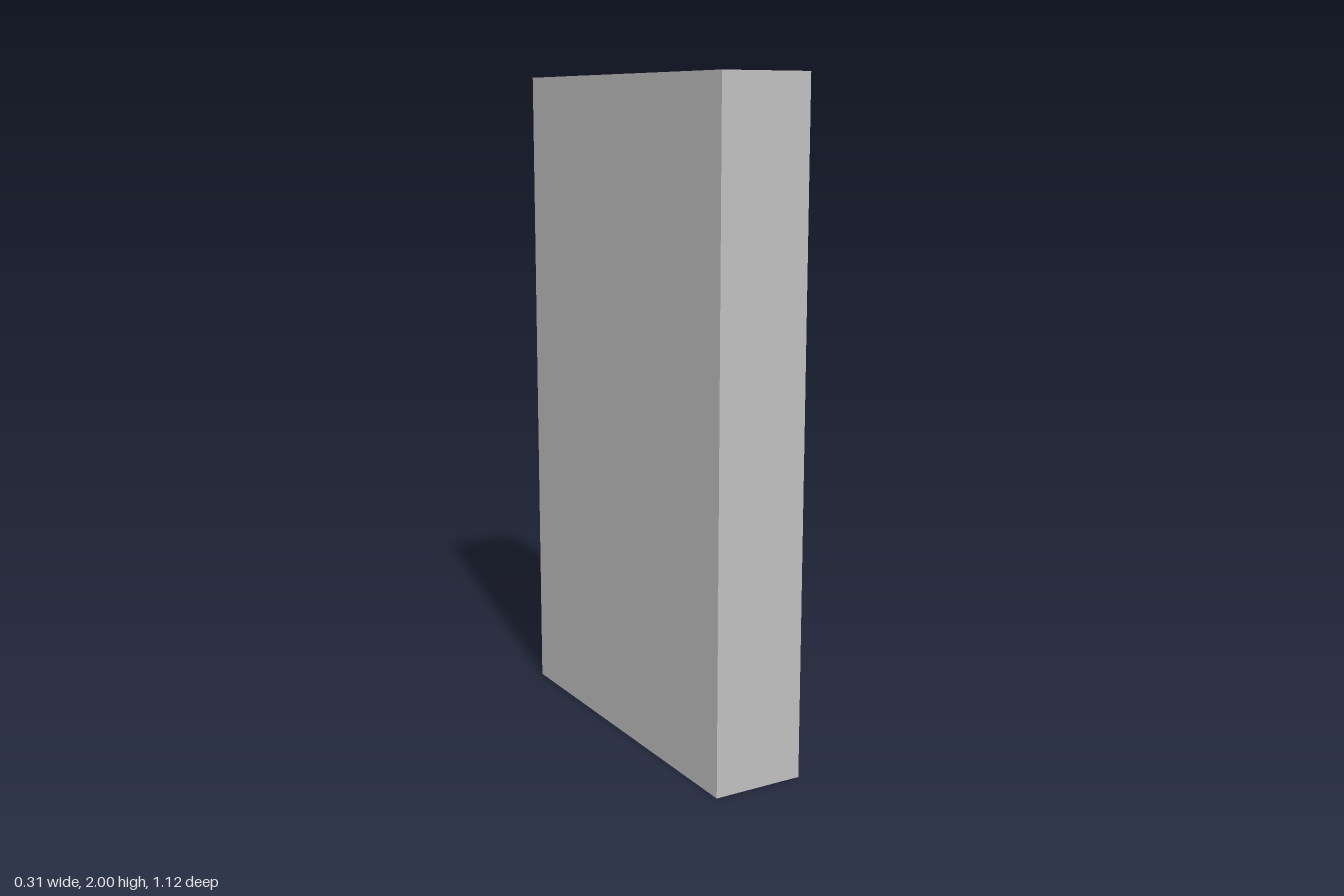
import * as THREE from 'three';

export function createModel() {
  const model = new THREE.Group();
  model.name = 'bookcase';
  const grey = new THREE.MeshStandardMaterial({ color: 0xc0c0c0 });
  grey.name = 'plain grey';

  // Box from its low and high corners
  function box(name, parent, [x0, y0, z0], [x1, y1, z1]) {
    const mesh = new THREE.Mesh(new THREE.BoxGeometry(x1 - x0, y1 - y0, z1 - z0), grey);
    mesh.position.set((x0 + x1) / 2, (y0 + y1) / 2, (z0 + z1) / 2);
    mesh.name = name;
    parent.add(mesh);
    return mesh;
  }

  const back = -0.155, inner = -0.065, front = 0.125, recess = 0.11;
  const zMin = -0.47, zMax = 0.479;

  // Carcass, open towards +x
  const frame = new THREE.Group();
  frame.name = 'frame';
  model.add(frame);
  box('backPanel', frame, [back, 0, zMin], [inner, 1.935, zMax]);
  box('leftSide', frame, [back, 0, zMax], [front, 1.935, 0.56]);
  box('rightSide', frame, [back, 0, -0.56], [front, 1.935, zMin]);
  box('topBoard', frame, [back, 1.935, -0.56], [front, 2, 0.56]);

  // Bottom board and shelves, set back a little: [underside, top]
  const shelves = [[0, 0.065], [0.52, 0.573], [0.873, 0.923], [1.225, 1.273], [1.576, 1.628]];
  shelves.forEach(([y0, y1]) => box('shelf', frame, [inner, y0, zMin], [recess, y1, zMax]));

  // Upright books per shelf, bottom up: start z, then [width, height, front x]
  // running towards -z; a zero height is a gap
  const rows = [
    [0.479, [[0.074, 0.377], [0.069, 0.345], [0.106, 0.382], [0.064, 0.324], [0.095, 0.345],
      [0.058, 0.276], [0.016, 0], [0.053, 0.26], [0.09, 0.276], [0.042, 0.276], [0.122, 0.245],
      [0.048, 0.287]]],
    [0.124, [[0.053, 0.255, 0.088], [0.106, 0.27], [0.127, 0.24], [0.143, 0.276], [0.058, 0.217],
      [0.106, 0.24]]],
    [0.447, [[0.058, 0.175], [0.095, 0.24], [0.058, 0.223], [0.149, 0.281], [0.127, 0.24],
      [0.069, 0.27], [0.058, 0.255], [0.053, 0.281], [0.122, 0.24], [0.074, 0.27], [0.053, 0.255]]],
    [0.479, [[0.074, 0.27], [0.069, 0.24], [0.106, 0.283], [0.064, 0.223], [0.095, 0.24],
      [0.058, 0.175]]],
    [0.283, [[0.053, 0.255], [0.09, 0.27], [0.042, 0.27], [0.122, 0.24], [0.053, 0.276],
      [0.053, 0.276, 0.135], [0.154, 0.276], [0.058, 0.217], [0.08, 0.24], [0.048, 0.17]]],
  ];
  const fronts = [0.1, 0.085, 0.105, 0.08, 0.095];
  const books = new THREE.Group();
  books.name = 'books';
  model.add(books);
  rows.forEach(([start, row], level) => {
    let z = start;
    const y = shelves[level][1];
    row.forEach(([w, h, x = null], i) => {
      if (h) box('uprightBook', books, [inner, y, z - w], [x ?? fronts[i % 5], y + h, z]);
      z -= w;
    });
  });

  // Leaning books: centre y, centre z, height, width, tilt
  [
    [1.75, 0.35, 0.253, 0.05, -0.34],
    [1.395, -0.019, 0.237, 0.045, 0.17],
    [1.358, -0.115, 0.165, 0.053, 0.715],
    [0.16, -0.417, 0.175, 0.045, -0.38],
  ].forEach(([y, z, h, w, tilt]) => {
    const book = box('leaningBook', books, [inner, y - h / 2, z - w / 2], [0.09, y + h / 2, z + w / 2]);
    book.rotation.x = tilt;
  });

  // Books lying flat: centre x, base y, centre z, depth, height, length, turn
  [
    [0.048, 1.273, -0.338, 0.16, 0.052, 0.24, -0.17],
    [0.03, 1.325, -0.325, 0.16, 0.058, 0.22, -0.11],
    [0.037, 0.573, 0.315, 0.185, 0.052, 0.14, 0.58],
  ].forEach(([x, y, z, d, h, l, turn]) => {
    const book = box('lyingBook', books, [x - d / 2, y, z - l / 2], [x + d / 2, y + h, z + l / 2]);
    book.rotation.y = turn;
  });

  return model;
}
